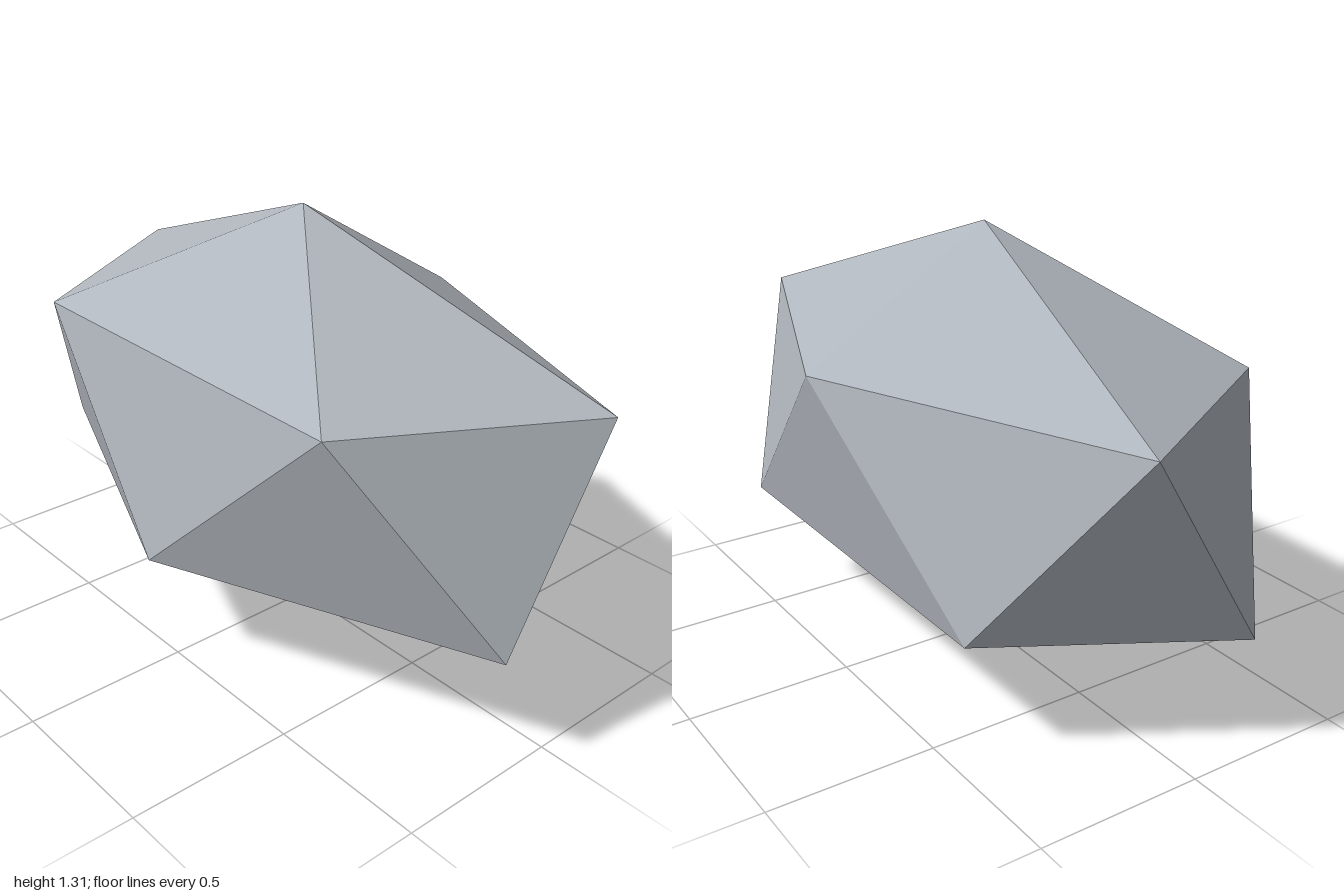
import * as THREE from 'three';

// Five-sided ring of points, stretched along z
function ring(y, turn) {
  return Array.from({ length: 5 }, (_, i) => {
    const a = (i * 2 + turn) * Math.PI / 5;
    return new THREE.Vector3(0.584 * Math.cos(a), y, 1.0515 * Math.sin(a));
  });
}

export function createModel() {
  const group = new THREE.Group();
  group.name = 'facetedStone';

  const stone = new THREE.MeshStandardMaterial({ color: 0xb0b6bd, flatShading: true });
  stone.name = 'stone grey';

  // Two poles and two staggered rings make the twenty facets
  const top = new THREE.Vector3(0, 1.306, 0);
  const bottom = new THREE.Vector3(0, 0, 0);
  const upper = ring(0.945, 0);
  const lower = ring(0.361, 1);

  const points = [];
  for (let i = 0; i < 5; i++) {
    const j = (i + 1) % 5;
    points.push(top, upper[j], upper[i]); // crown
    points.push(upper[i], upper[j], lower[i]); // girdle, pointing down
    points.push(lower[i], upper[j], lower[j]); // girdle, pointing up
    points.push(bottom, lower[i], lower[j]); // base
  }
  const geometry = new THREE.BufferGeometry().setFromPoints(points);
  geometry.computeVertexNormals();

  const body = new THREE.Mesh(geometry, stone);
  body.name = 'stoneBody';
  group.add(body);
  return group;
}
